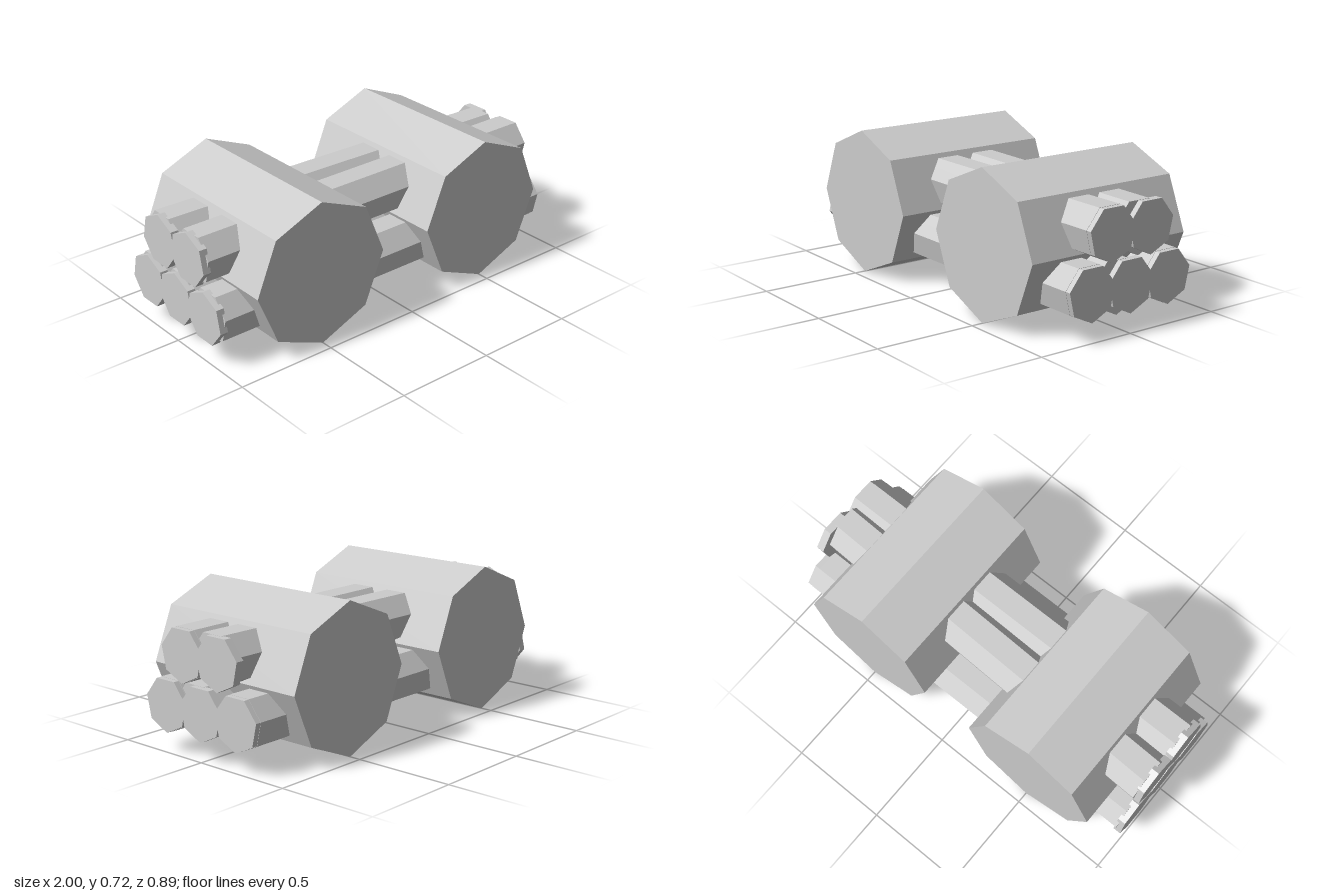
import * as THREE from 'three';

export function createModel() {
  const group = new THREE.Group();
  const stone = new THREE.MeshStandardMaterial({ color: 0xcccccc, flatShading: true });
  stone.name = 'light grey';

  function add(name, geometry, x, y, z) {
    const mesh = new THREE.Mesh(geometry, stone);
    mesh.name = name;
    mesh.position.set(x, y, z);
    group.add(mesh);
    return mesh;
  }

  // Seven-sided bar along x, with one corner pointing down or up
  function bar(radius, length, cornerUp) {
    const start = cornerUp ? Math.PI / 2 : -Math.PI / 2;
    return new THREE.CylinderGeometry(radius, radius, length, 7, 1, false, start)
      .rotateZ(Math.PI / 2);
  }

  // Two thick eight-sided cross beams along z
  for (const side of [-1, 1]) {
    const beam = new THREE.CylinderGeometry(0.361, 0.361, 0.886, 8).rotateX(Math.PI / 2);
    add(side < 0 ? 'rightCrossBeam' : 'leftCrossBeam', beam, side * 0.5, 0.361, 0);
  }

  // Stacked logs: height, depth, depth at the right end and at the left end
  const logs = [
    { name: 'upperFrontLog', y: 0.4745, z: 0.111 },
    { name: 'upperBackLog', y: 0.4745, z: -0.111, from: -0.12, to: -0.06 },
    { name: 'lowerFrontLog', y: 0.2235, z: 0.222 },
    { name: 'lowerMiddleLog', y: 0.2235, z: 0, from: 0, to: 0.06 },
    { name: 'lowerBackLog', y: 0.2235, z: -0.222 },
  ];
  for (const { name, y, z, from = z, to = z } of logs) {
    // Long body, slightly skewed on some logs
    const body = add(name, bar(0.1325, 1.945, false), 0, y, (from + to) / 2);
    body.rotation.y = -Math.atan2(to - from, 1.945);
    // Thin end caps, turned half a turn on the right end
    add(name + 'LeftCap', bar(0.131, 0.04, false), 0.98, y, z);
    add(name + 'RightCap', bar(0.131, 0.04, true), -0.98, y, z);
  }
  return group;
}
